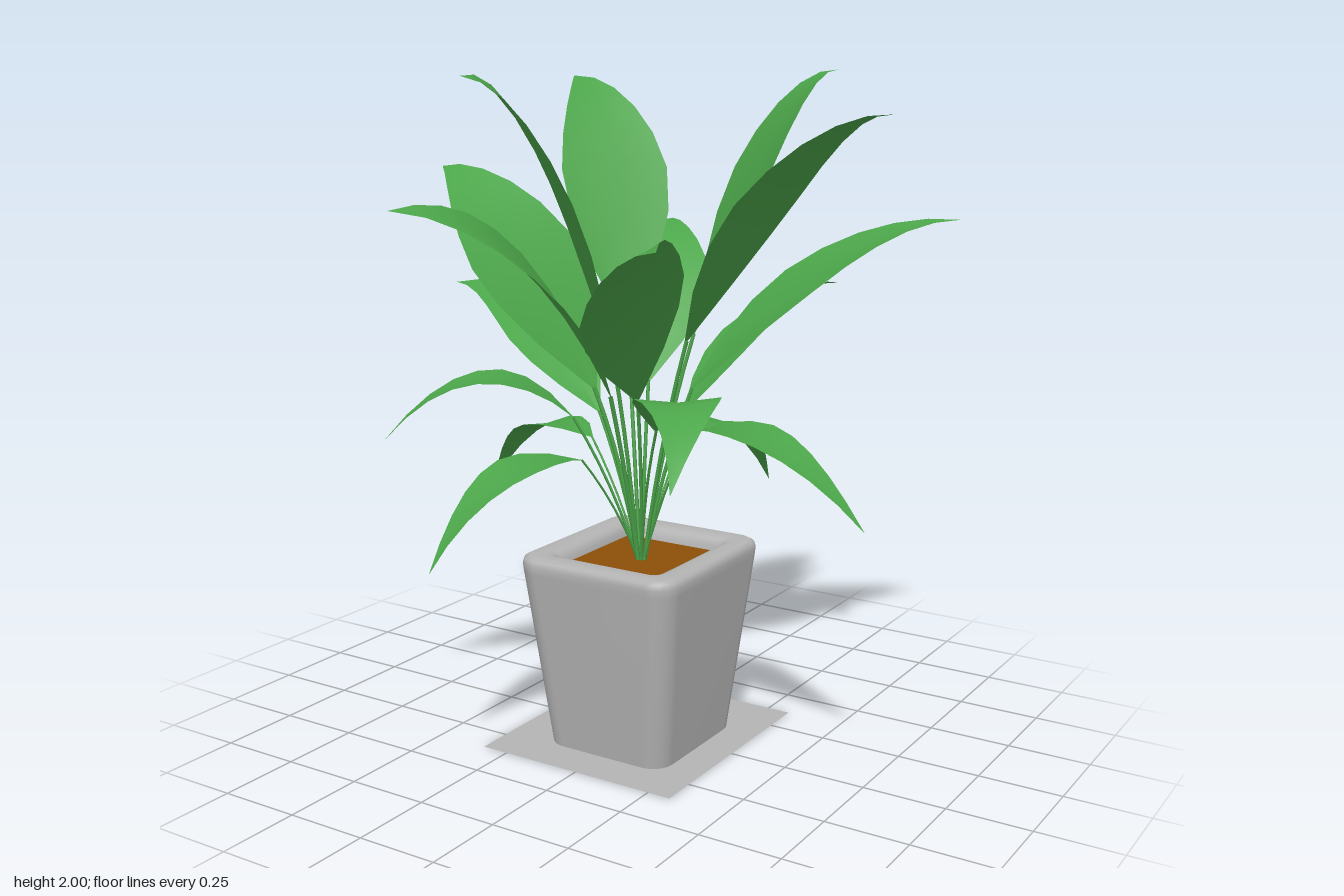
import * as THREE from 'three';

const mat = (name, color, side = THREE.FrontSide) => {
  const m = new THREE.MeshStandardMaterial({ color, side });
  m.name = name;
  return m;
};

const CX = 0.01, CZ = 0.015; // pot centre

// Points of a rounded rectangle, starting at +x and turning towards +z
function roundedRect(hx, hz, r, steps = 5) {
  const pts = [];
  [[1, 1], [-1, 1], [-1, -1], [1, -1]].forEach(([sx, sz], q) => {
    for (let i = 0; i <= steps; i++) {
      const a = (q + i / steps) * Math.PI / 2;
      pts.push([sx * (hx - r) + r * Math.cos(a), sz * (hz - r) + r * Math.sin(a)]);
    }
  });
  return pts;
}

// Joins rounded rectangles [y, halfX, halfZ, cornerRadius] into a skin
function loft(rings) {
  const pos = [], idx = [];
  let n = 0;
  for (const [y, hx, hz, r] of rings) {
    const pts = roundedRect(hx, hz, r);
    n = pts.length;
    for (const [x, z] of pts) pos.push(x, y, z);
  }
  for (let i = 0; i < rings.length - 1; i++) {
    for (let j = 0; j < n; j++) {
      const a = i * n + j, b = i * n + (j + 1) % n, c = a + n, d = b + n;
      idx.push(a, c, b, b, c, d);
    }
  }
  const g = new THREE.BufferGeometry();
  g.setAttribute('position', new THREE.Float32BufferAttribute(pos, 3));
  g.setIndex(idx);
  g.computeVertexNormals();
  return g;
}

// Half-width of a blade along its length, as a share of the widest place
const OUTLINE = [0.05, 0.6, 0.92, 1, 0.86, 0.65, 0.42, 0.2, 0];

// Arching pointed blade along a spine; roll tips its right edge down
function bladeGeometry(spine, width, roll) {
  const n = OUTLINE.length - 1;
  const g = new THREE.PlaneGeometry(2, 1, 2, n);
  const p = g.attributes.position;
  for (let i = 0; i < p.count; i++) {
    const s = p.getX(i), t = THREE.MathUtils.clamp(p.getY(i) + 0.5, 0, 1);
    const half = OUTLINE[Math.round(t * n)] * width / 2;
    const c = spine.getPoint(t), d = spine.getTangent(t);
    // shallow fold along the midrib, plus the roll
    const lift = half * (Math.abs(s) * 0.1 - s * Math.sin(roll));
    p.setXYZ(i, c.x - s * half * Math.cos(roll), c.y + d.z * lift, c.z - d.y * lift);
  }
  g.computeVertexNormals();
  return g;
}

// Leaf groups: blade start [radius, height], arch control [share of reach, height above tip],
// blade width, tips [x, y, z, roll, sideways bend]
const TIERS = [
  { base: [0.16, 1.24], arch: [0.62, 0.01], width: 0.34,
    tips: [[-0.48, 1.98, -0.36, 0, -0.04], [0.42, 2.0, -0.41, 0, 0], [0.81, 1.89, 0.06, 0, 0]] },
  { base: [0.1, 1.16], arch: [0.62, 0.01], width: 0.35, tips: [[-0.23, 1.985, 0.53, -0.35, 0.03]] },
  { base: [0.14, 1.08], arch: [0.57, 0.01], width: 0.37,
    tips: [[-0.69, 1.71, 0.05, -0.4, 0.09], [-0.25, 1.65, 0.81, -0.42, 0.08]] },
  { base: [0.15, 1.08], arch: [0.57, 0.01], width: 0.32,
    tips: [[0.54, 1.59, 0.785, 0.52, -0.04], [0.755, 1.57, -0.555, 0.1, 0],
      [-0.27, 1.52, -0.62, 0, 0]] },
  { base: [0.18, 0.99], arch: [0.52, 0.04], width: 0.25,
    tips: [[-0.815, 1.32, -0.16, -0.3, 0], [0.245, 1.32, -0.815, -0.25, 0]] },
  { base: [0.2, 1.0], arch: [0.5, 0.32], width: 0.24,
    tips: [[-0.585, 0.94, 0.48, 0, 0], [0.48, 0.96, 0.62, 0, 0.06]] },
  { base: [0.21, 0.985], arch: [0.6, 0.33], width: 0.2, tips: [[0.805, 0.8, 0.16, 0, -0.06]] },
  { base: [0.22, 0.9], arch: [0.62, 0.33], width: 0.19,
    tips: [[-0.225, 0.66, 0.72, 0, 0], [0.065, 0.66, -0.695, 0, 0], [-0.68, 0.66, -0.16, 0, 0]] },
];

export function createModel() {
  const model = new THREE.Group();
  model.name = 'pottedPlant';
  const grey = mat('grey', 0xb4b4b4, THREE.DoubleSide);
  const brown = mat('soilBrown', 0x8c4f08);
  const black = mat('black', 0x050505);
  const green = mat('leafGreen', 0x4ca64a, THREE.DoubleSide);

  const add = (name, geometry, material, parent = model) => {
    const m = new THREE.Mesh(geometry, material);
    m.name = name;
    parent.add(m);
    return m;
  };

  // Tapered pot with a soft rim that dips to the soil
  add('pot', loft([
    [0.001, 0.205, 0.218, 0.065],
    [0.28, 0.235, 0.252, 0.07],
    [0.55, 0.263, 0.283, 0.07],
    [0.575, 0.265, 0.286, 0.07],
    [0.592, 0.26, 0.281, 0.065],
    [0.6, 0.246, 0.267, 0.055],
    [0.6, 0.205, 0.225, 0.04],
    [0.593, 0.185, 0.205, 0.03],
    [0.575, 0.17, 0.19, 0.02],
    [0.54, 0.164, 0.184, 0.015],
  ]), grey).position.set(CX, 0, CZ);

  // Soil
  const soil = add('soil', new THREE.PlaneGeometry(0.335, 0.375), brown);
  soil.rotation.x = -Math.PI / 2;
  soil.position.set(CX, 0.56, CZ);

  // Flat mat under the pot, and the dark underside of the pot
  const base = add('groundMat', new THREE.PlaneGeometry(0.655, 0.725), grey);
  base.rotation.x = -Math.PI / 2;
  base.position.set(-0.003, 0.003, 0);
  const outline = roundedRect(0.198, 0.21, 0.06).map(([x, z]) => new THREE.Vector2(x, z));
  const under = add('potUnderside', new THREE.ShapeGeometry(new THREE.Shape(outline)), black);
  under.rotation.x = Math.PI / 2;
  under.position.set(CX, 0, CZ);

  // Leaves: each is a thin stem and an arching blade, turned towards its tip
  const leaves = new THREE.Group();
  leaves.name = 'leaves';
  model.add(leaves);
  for (const { base: [br, by], arch, width, tips } of TIERS) {
    for (const [x, y, z, roll, bend] of tips) {
      const dx = x - CX, dz = z - CZ, reach = Math.hypot(dx, dz);
      const leaf = new THREE.Group();
      leaf.name = 'leaf';
      leaf.position.set(CX, 0, CZ);
      leaf.rotation.y = Math.atan2(dx, dz);
      leaves.add(leaf);

      const start = new THREE.Vector3(bend * 0.4, by, br);
      const stem = new THREE.QuadraticBezierCurve3(
        new THREE.Vector3(0, 0.56, 0.012),
        new THREE.Vector3(0, 0.56 + (by - 0.56) * 0.55, br * 0.42), start);
      add('stem', new THREE.TubeGeometry(stem, 6, width * 0.018, 5), green, leaf);

      const spine = new THREE.QuadraticBezierCurve3(start,
        new THREE.Vector3(bend * 1.8, y + arch[1], br + (reach - br) * arch[0]),
        new THREE.Vector3(0, y, reach));
      add('blade', bladeGeometry(spine, width, roll), green, leaf);
    }
  }
  return model;
}
